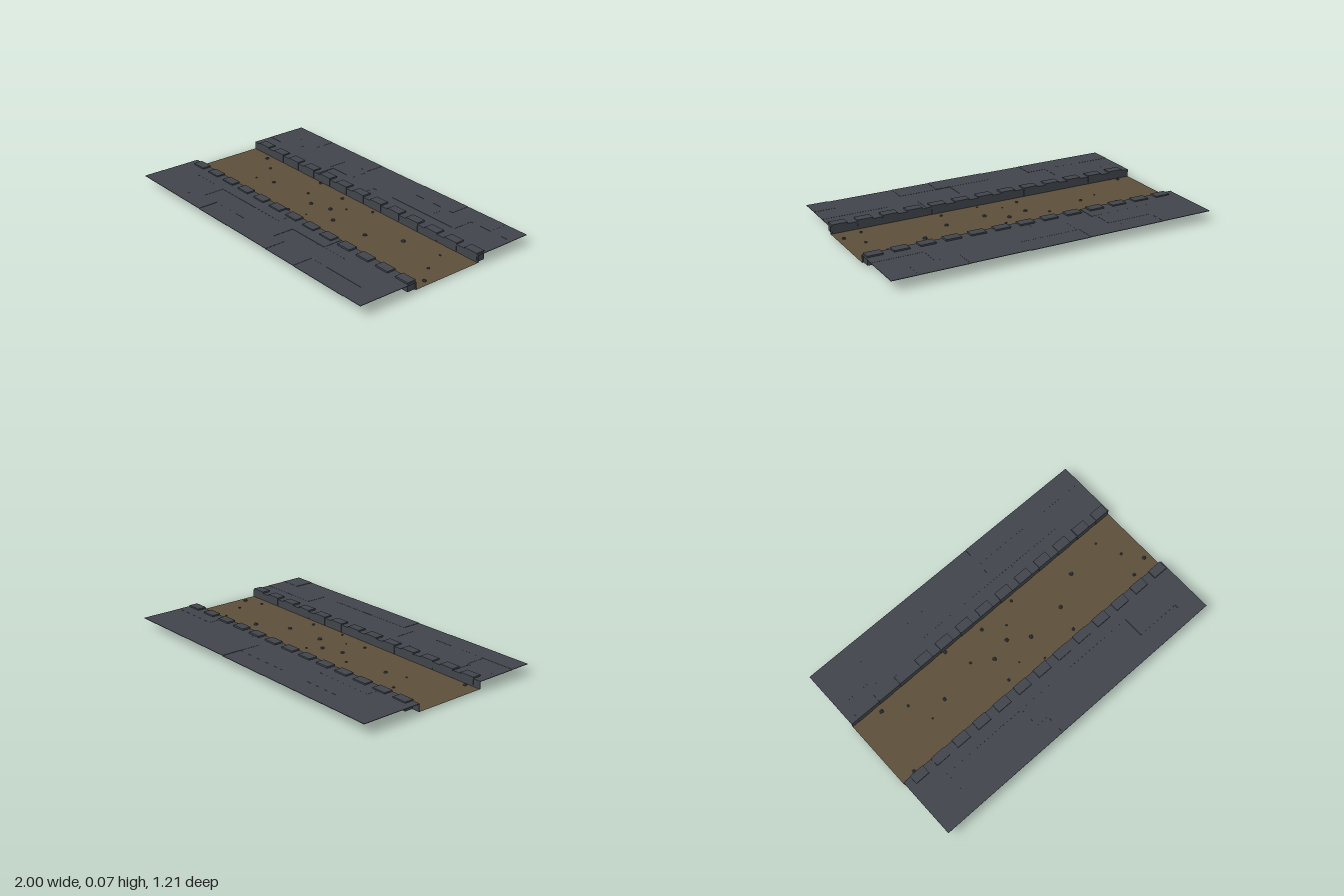
import * as THREE from 'three';

const slate = new THREE.MeshStandardMaterial({ color: 0x40454b });
slate.name = 'slate';
slate.flatShading = true;
const earth = new THREE.MeshStandardMaterial({ color: 0x5c4e3a, side: THREE.DoubleSide });
earth.name = 'earth';

const HALF_ROAD = 0.225, HALF_WIDTH = 0.605, ROAD_Y = 0.017, PAVE_Y = 0.0615;

// small seeded generator for uneven stonework
function seeded(seed) {
  return () => {
    seed = (seed * 16807) % 2147483647;
    return seed / 2147483647;
  };
}

function box(parent, name, x0, x1, y0, y1, z0, z1) {
  const mesh = new THREE.Mesh(new THREE.BoxGeometry(x1 - x0, y1 - y0, z1 - z0), slate);
  mesh.position.set((x0 + x1) / 2, (y0 + y1) / 2, (z0 + z1) / 2);
  mesh.name = name;
  parent.add(mesh);
}

// thin flagstones in staggered rows, with slightly different heights
function pavement(side, rand) {
  const group = new THREE.Group();
  group.name = side > 0 ? 'frontPavement' : 'backPavement';
  const rows = [HALF_ROAD, 0.35, 0.48, HALF_WIDTH];
  for (let r = 0; r < 3; r++) {
    const z = [side * rows[r], side * rows[r + 1]].sort((a, b) => a - b);
    let x = -1;
    while (x < 1) {
      let end = x + 0.2 + rand() * 0.22;
      if (end > 0.88) end = 1;
      const top = PAVE_Y + rand() * 0.003;
      box(group, 'flagstone', x, end, top - 0.003, top, z[0], z[1]);
      x = end;
    }
  }
  return group;
}

// low wall beside the road with evenly spaced raised blocks
function kerb(side, rand) {
  const group = new THREE.Group();
  group.name = side > 0 ? 'frontKerb' : 'backKerb';
  const span = (a, b) => [side * a, side * b].sort((p, q) => p - q);
  box(group, 'kerbWall', -1, 1, ROAD_Y, PAVE_Y, ...span(HALF_ROAD, HALF_ROAD + 0.003));
  for (let i = 0; i < 13; i++) {
    const x = -0.904 + i * 0.154, top = 0.071 + rand() * 0.002;
    box(group, 'kerbStone', x - 0.047, x + 0.047, 0.018, top, ...span(0.223, 0.279));
  }
  return group;
}

// pebbles half sunk in the road: x, z, radius
const PEBBLES = [
  [-0.82, -0.185, 0.013], [-0.685, -0.11, 0.009], [-0.63, 0.04, 0.006],
  [-0.505, 0, 0.012], [-0.315, -0.212, 0.012], [-0.25, -0.065, 0.009],
  [-0.13, 0.01, 0.013], [-0.065, -0.175, 0.011], [0, -0.03, 0.013],
  [-0.155, 0.16, 0.01], [-0.037, 0.12, 0.005], [0.06, -0.1, 0.007],
  [0.12, 0.05, 0.014], [0.09, 0.2, 0.007], [0.185, -0.195, 0.009],
  [0.335, 0.18, 0.01], [0.375, 0.03, 0.013], [0.565, -0.085, 0.014],
  [0.81, -0.13, 0.007], [0.875, 0.02, 0.009], [0.96, 0.13, 0.013],
  [0.84, 0.17, 0.01], [-0.91, 0.205, 0.012],
];

export function createModel() {
  const model = new THREE.Group();
  model.name = 'roadSection';
  const rand = seeded(41);

  // sunken dirt road
  const road = new THREE.Mesh(new THREE.PlaneGeometry(2, HALF_ROAD * 2).rotateX(-Math.PI / 2), earth);
  road.position.y = ROAD_Y;
  road.name = 'dirtRoad';
  model.add(road);

  for (const side of [1, -1]) model.add(pavement(side, rand), kerb(side, rand));

  const pebbles = new THREE.Group();
  pebbles.name = 'pebbles';
  const shape = new THREE.IcosahedronGeometry(1, 0);
  for (const [x, z, r] of PEBBLES) {
    const pebble = new THREE.Mesh(shape, slate);
    pebble.name = 'pebble';
    pebble.position.set(x, ROAD_Y, z);
    pebble.scale.set(r, r * 0.9, r);
    pebble.rotation.y = rand() * Math.PI;
    pebbles.add(pebble);
  }
  model.add(pebbles);
  return model;
}
